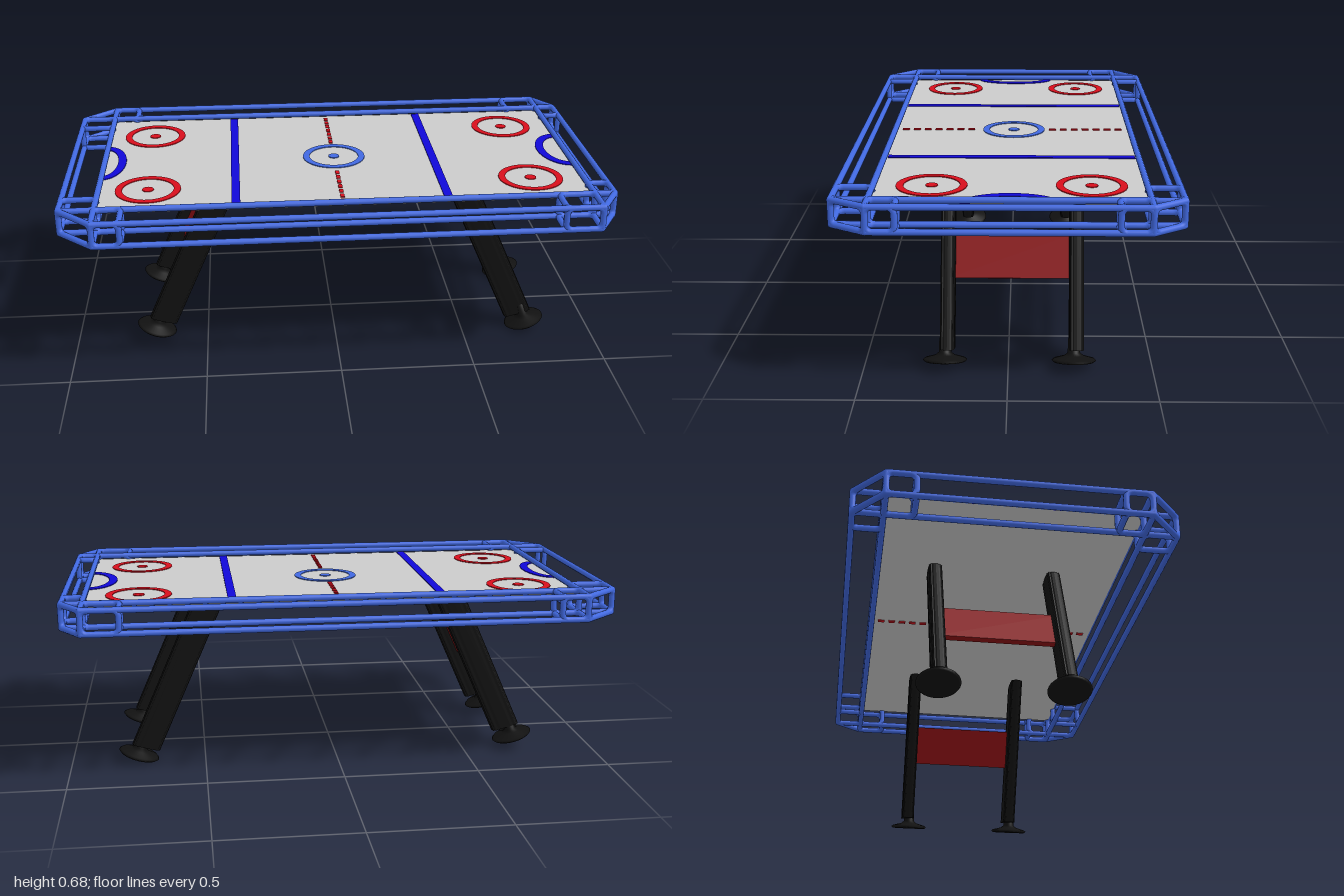
import * as THREE from 'three';

const mat = (color, side = THREE.FrontSide) => new THREE.MeshStandardMaterial({ color, side });
const V = (x, y, z) => new THREE.Vector3(x, y, z);

export function createModel() {
  const model = new THREE.Group();
  const frameBlue = mat(0x4169e1), lineBlue = mat(0x1108d8), red = mat(0xd80e1c);
  const black = mat(0x111111), darkRed = mat(0x8b1014), grey = mat(0xcccccc, THREE.DoubleSide);
  const add = (parent, name, geometry, material) => {
    const mesh = new THREE.Mesh(geometry, material);
    mesh.name = name;
    parent.add(mesh);
    return mesh;
  };
  const group = (name) => {
    const g = new THREE.Group();
    g.name = name;
    model.add(g);
    return g;
  };

  // ---- Tubular frame ----
  const frame = group('tubeFrame');
  const R = 0.0115, yLow = 0.585, yHigh = 0.668;
  const xL = [-0.988, -0.865], xR = [0.915, 0.987];   // end rails
  const zB = [-0.565, -0.459], zF = [0.445, 0.562];   // side rails, back and front
  const postX = [-0.77, 0.785], postZ = [-0.357, 0.352];

  const rod = (name, a, b) => {
    const dir = b.clone().sub(a);
    const m = add(frame, name, new THREE.CylinderGeometry(R, R, dir.length(), 12), frameBlue);
    m.position.copy(a).lerp(b, 0.5);
    m.quaternion.setFromUnitVectors(V(0, 1, 0), dir.normalize());
  };
  // Closed tube ring through four corners, each corner rounded
  const ring = (name, corners, round = 0.025) => {
    const path = new THREE.CurvePath();
    const n = corners.length;
    const toward = (a, b) => a.clone().add(b.clone().sub(a).setLength(Math.min(round, a.distanceTo(b) * 0.4)));
    corners.forEach((c, i) => {
      const prev = corners[(i + n - 1) % n], next = corners[(i + 1) % n];
      const inP = toward(c, prev), outP = toward(c, next);
      path.add(new THREE.QuadraticBezierCurve3(inP, c, outP));
      path.add(new THREE.LineCurve3(outP, toward(next, c)));
    });
    add(frame, name, new THREE.TubeGeometry(path, 48, R, 10, true), frameBlue);
  };
  const uprightRing = (x0, z0, x1, z1) =>
    ring('uprightRing', [V(x0, yLow, z0), V(x1, yLow, z1), V(x1, yHigh, z1), V(x0, yHigh, z0)]);
  const flatRing = (x0, x1, z0, z1, y) =>
    ring('flatRing', [V(x0, y, z0), V(x1, y, z0), V(x1, y, z1), V(x0, y, z1)]);

  for (const y of [yLow, yHigh]) {
    for (const z of [zB[0], zF[1]]) rod('outerSideRail', V(xL[1], y, z), V(xR[0], y, z));
    for (const z of [zB[1], zF[0]]) rod('innerSideRail', V(xL[0], y, z), V(xR[1], y, z));
    for (const x of [xL[0], xR[1]]) rod('outerEndRail', V(x, y, zB[1]), V(x, y, zF[0]));
    for (const x of [xL[1], xR[0]]) rod('innerEndRail', V(x, y, zB[0]), V(x, y, zF[1]));
  }
  // Four corners: two cells each and a diagonal brace
  [[xL[0], xL[1], postX[0]], [xR[1], xR[0], postX[1]]].forEach(([xo, xi, xp]) => {
    [[zB[0], zB[1], postZ[0]], [zF[1], zF[0], postZ[1]]].forEach(([zo, zi, zp]) => {
      for (const y of [yLow, yHigh]) {
        rod('cornerBrace', V(xo, y, zi), V(xi, y, zo));
        flatRing(xi, xp, zo, zi, y);
        flatRing(xo, xi, zi, zp, y);
      }
      for (const z of [zo, zi]) uprightRing(xi, z, xp, z);
      for (const x of [xo, xi]) uprightRing(x, zi, x, zp);
      uprightRing(xo, zi, xi, zo);
      for (const [x, z] of [[xo, zi], [xi, zo], [xi, zi]]) {
        rod('cornerPost', V(x, yLow, z), V(x, yHigh, z));
        for (const y of [yLow, yHigh]) {
          add(frame, 'joint', new THREE.SphereGeometry(R, 12, 8), frameBlue).position.set(x, y, z);
        }
      }
    });
  });

  // ---- Playing surface ----
  const bedY = 0.655;
  const x0 = xL[1], x1 = xR[0], z0 = zB[1], z1 = zF[0], c = 0.03;
  const bedShape = new THREE.Shape();
  bedShape.moveTo(x0 + c, z0).lineTo(x1 - c, z0).quadraticCurveTo(x1, z0, x1, z0 + c)
    .lineTo(x1, z1 - c).quadraticCurveTo(x1, z1, x1 - c, z1)
    .lineTo(x0 + c, z1).quadraticCurveTo(x0, z1, x0, z1 - c)
    .lineTo(x0, z0 + c).quadraticCurveTo(x0, z0, x0 + c, z0);
  add(model, 'playingSurface', new THREE.ShapeGeometry(bedShape).rotateX(Math.PI / 2), grey).position.y = bedY;

  // ---- Markings ----
  const marks = group('markings');
  const flat = (name, shape, material, x, z) => {
    const g = new THREE.ExtrudeGeometry(shape, { depth: 0.003, bevelEnabled: false, curveSegments: 40 });
    add(marks, name, g.rotateX(-Math.PI / 2), material).position.set(x, bedY + 0.0005, z);
  };
  const circle = (name, x, z, material) => {
    const s = new THREE.Shape().absarc(0, 0, 0.119, 0, Math.PI * 2);
    s.holes.push(new THREE.Path().absarc(0, 0, 0.094, 0, Math.PI * 2, true));
    flat(name, s, material, x, z);
    flat(name + 'Dot', new THREE.Shape().absarc(0, 0, 0.021, 0, Math.PI * 2), material, x, z);
  };
  circle('centreCircle', 0.012, -0.012, frameBlue);
  for (const x of [-0.688, 0.725]) for (const z of [-0.278, 0.254]) circle('faceOffCircle', x, z, red);
  for (const x of [-0.37, 0.392]) {
    add(marks, 'zoneLine', new THREE.BoxGeometry(0.031, 0.003, 0.885), lineBlue).position.set(x, bedY + 0.002, -0.007);
  }
  // Goal creases: half ellipses opening on the end rails
  [[x0, 1, 0.08], [x1, -1, 0.102]].forEach(([x, dir, depth]) => {
    const h = Math.PI / 2, a = dir > 0 ? -h : h;
    const s = new THREE.Shape();
    s.absellipse(0, 0, depth, 0.162, a, a + Math.PI, false);
    s.absellipse(0, 0, depth - 0.031, 0.128, a + Math.PI, a, true);
    s.closePath();
    flat('goalCrease', s, lineBlue, x, -0.01);
  });
  // Dashed centre line
  for (const start of [-0.417, 0.152]) {
    for (let i = 0; i < 7; i++) {
      add(marks, 'centreDash', new THREE.BoxGeometry(0.015, 0.007, 0.026), red)
        .position.set(0.012, bedY, start + i * 0.0425);
    }
  }

  // ---- Legs ----
  // Fluted, rounded bar section
  const section = new THREE.Shape();
  const N = 72;
  for (let i = 0; i < N; i++) {
    const t = (i / N) * Math.PI * 2;
    const flute = 1 - 0.05 * (1 - Math.cos(t * 12)) / 2;
    const px = Math.sign(Math.cos(t)) * Math.abs(Math.cos(t)) ** 0.4 * 0.058 * flute;
    const pz = Math.sign(Math.sin(t)) * Math.abs(Math.sin(t)) ** 0.4 * 0.026 * flute;
    if (i) section.lineTo(px, pz); else section.moveTo(px, pz);
  }
  const footProfile = [[0, -0.006], [0.07, -0.006], [0.077, 0], [0.07, 0.006], [0.034, 0.016],
    [0.022, 0.026], [0.02, 0.075], [0, 0.075]].map(([r, y]) => new THREE.Vector2(r, y));

  const legPair = (name, top, bottom, foot, zs, footZs) => {
    const pair = group(name);
    const inward = Math.sign(top[0] - bottom[0]);
    const rise = top[1] - bottom[1], run = top[0] - bottom[0];
    zs.forEach((z, i) => {
      const g = new THREE.ExtrudeGeometry(section, { depth: rise, bevelEnabled: false });
      g.rotateX(-Math.PI / 2);
      // Lean the bar; its lower end is cut nearly square to the lean
      const p = g.attributes.position;
      for (let k = 0; k < p.count; k++) {
        const x = p.getX(k), t = p.getY(k) / rise;
        const drop = -inward * x * 0.25 * (1 - t);
        p.setXY(k, x + t * run + drop * run / rise, t * rise + drop);
      }
      g.computeVertexNormals();
      add(pair, 'leg', g, black).position.set(bottom[0], bottom[1], z);
      const f = add(pair, 'foot', new THREE.LatheGeometry(footProfile, 32), black);
      f.position.set(foot[0], foot[1], footZs[i]);
      f.rotation.z = -inward * 0.3;
    });
    // Cross panel between the two legs, leaning with them
    const y = 0.355, x = bottom[0] + run * (y - bottom[1]) / rise;
    const panel = add(pair, 'crossPanel', new THREE.BoxGeometry(0.02, 0.16, zs[0] - zs[1]), darkRed);
    panel.position.set(x, y, (zs[0] + zs[1]) / 2);
    panel.rotation.z = -Math.atan2(run, rise);
  };
  legPair('rightLegs', [-0.418, 0.645], [-0.667, 0.085], [-0.695, 0.05], [0.203, -0.243], [0.2, -0.247]);
  legPair('leftLegs', [0.473, 0.622], [0.722, 0.06], [0.75, 0.029], [0.211, -0.237], [0.219, -0.228]);

  return model;
}
